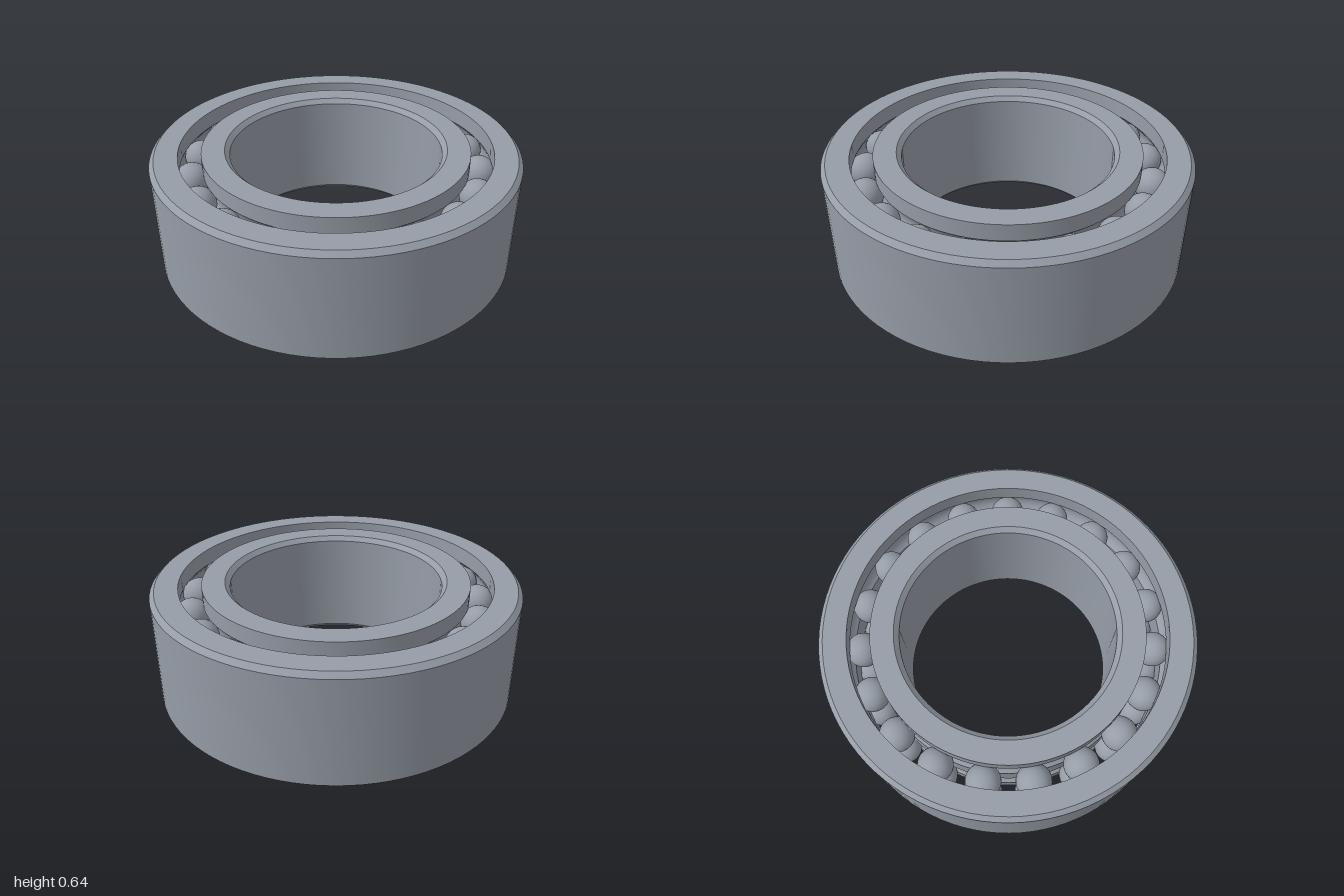
import * as THREE from 'three';
import { toCreasedNormals } from 'three/addons/utils/BufferGeometryUtils.js';

const HEIGHT = 0.636, CHAMFER = 0.026;
const PITCH = 0.789, BALL_R = 0.094, HALF_GAP = 0.061;
const ROWS = [0.166, 0.47], BALLS = 19, PHASE = 2.1 * Math.PI / 180;

// Race wall with one round groove per ball row, listed from bottom to top.
// side is +1 for the outer ring's wall and -1 for the inner ring's wall.
function raceWall(side) {
  const wall = PITCH + side * HALF_GAP, r = BALL_R + 0.001, steps = 10;
  const reach = Math.acos(HALF_GAP / r);
  const points = [new THREE.Vector2(wall, 0)];
  for (const y of ROWS) {
    for (let i = 0; i <= steps; i++) {
      const t = reach * (2 * i / steps - 1);
      points.push(new THREE.Vector2(PITCH + side * r * Math.cos(t), y + r * Math.sin(t)));
    }
  }
  points.push(new THREE.Vector2(wall, HEIGHT));
  return points;
}

// Chamfered plain wall, bottom to top; side tells which way it faces.
function plainWall(radius, side) {
  const edge = radius - side * CHAMFER;
  return [[edge, 0], [radius, CHAMFER], [radius, HEIGHT - CHAMFER], [edge, HEIGHT]]
    .map(([r, y]) => new THREE.Vector2(r, y));
}

// Closed ring: up the outside, down the inside, back to the start.
function ring(name, outside, inside, material) {
  const profile = [...outside, ...inside.reverse(), outside[0].clone()];
  const geometry = toCreasedNormals(new THREE.LatheGeometry(profile, 96), 0.5);
  const mesh = new THREE.Mesh(geometry, material);
  mesh.name = name;
  return mesh;
}

export function createModel() {
  const model = new THREE.Group();
  model.name = 'ballBearing';
  const steel = new THREE.MeshStandardMaterial({ color: 0x969da7 });
  steel.name = 'steel grey';

  model.add(ring('outerRing', plainWall(1, 1), raceWall(1), steel));
  model.add(ring('innerRing', raceWall(-1), plainWall(0.577, -1), steel));

  // Two aligned rows of balls
  const ballGeometry = new THREE.SphereGeometry(BALL_R, 28, 18);
  ROWS.forEach((y, row) => {
    const group = new THREE.Group();
    group.name = row === 0 ? 'lowerBallRow' : 'upperBallRow';
    for (let i = 0; i < BALLS; i++) {
      const a = PHASE + i * 2 * Math.PI / BALLS;
      const ball = new THREE.Mesh(ballGeometry, steel);
      ball.name = 'ball';
      ball.position.set(PITCH * Math.sin(a), y, PITCH * Math.cos(a));
      group.add(ball);
    }
    model.add(group);
  });
  return model;
}
